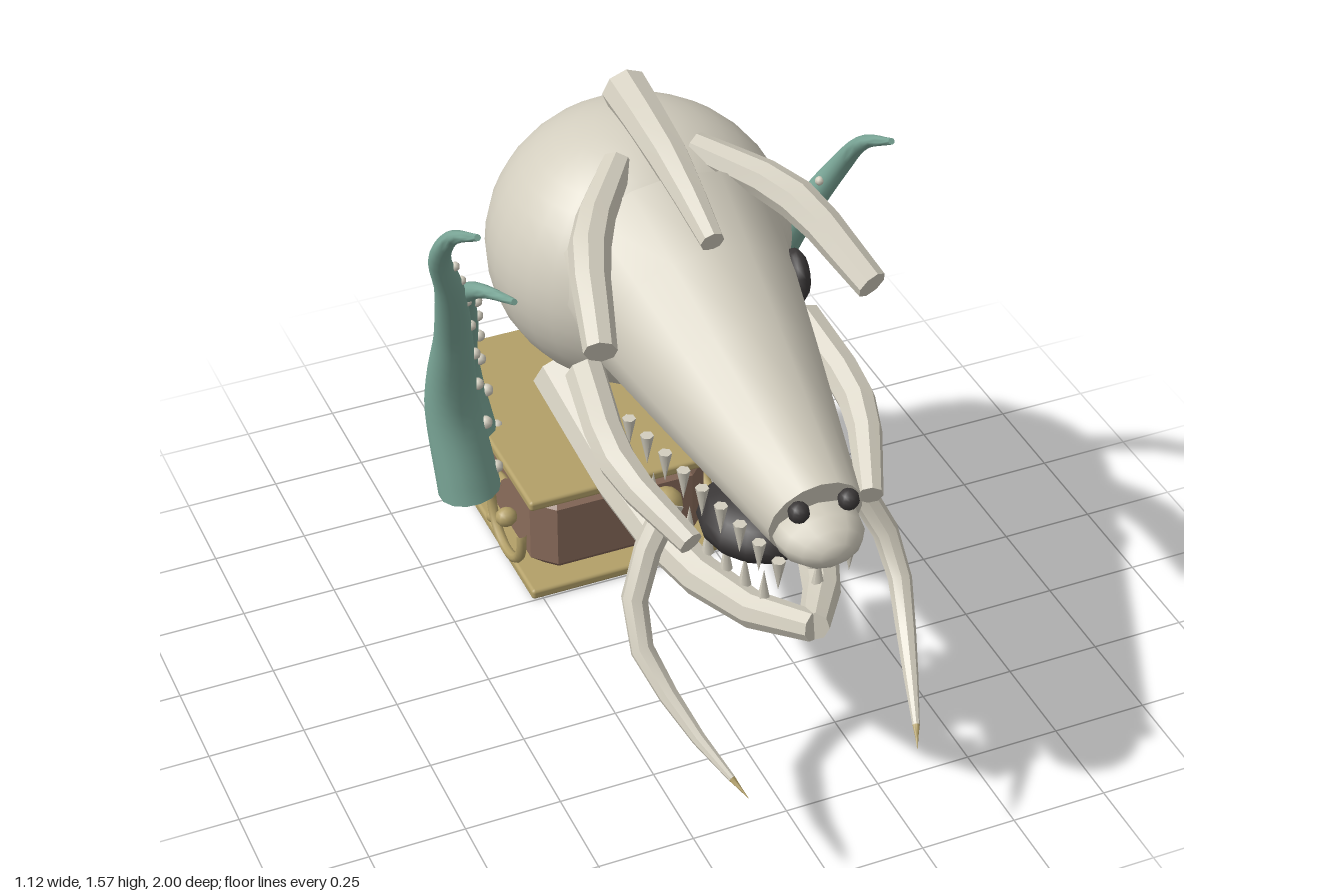
import * as THREE from 'three';
import { toCreasedNormals } from 'three/addons/utils/BufferGeometryUtils.js';
import { RoundedBoxGeometry } from 'three/addons/geometries/RoundedBoxGeometry.js';

const paint = (name, color) => {
  const m = new THREE.MeshStandardMaterial({ color });
  m.name = name;
  return m;
};

// Capped tube along points [x, y, z, radius]
function taper(points, sides, steps, crease) {
  const curve = new THREE.CatmullRomCurve3(points.map(p => new THREE.Vector3(p[0], p[1], p[2])));
  const { normals, binormals } = curve.computeFrenetFrames(steps);
  const pos = [], index = [], row = sides + 1;
  const ring = (i, capped) => {
    const u = i / steps, c = curve.getPointAt(u);
    const k = curve.getUtoTmapping(u) * (points.length - 1);
    const a = Math.min(Math.floor(k), points.length - 2);
    const r = capped ? 0 : THREE.MathUtils.lerp(points[a][3], points[a + 1][3], k - a);
    for (let j = 0; j <= sides; j++) {
      const t = j / sides * Math.PI * 2;
      const p = c.clone().addScaledVector(normals[i], r * Math.cos(t)).addScaledVector(binormals[i], r * Math.sin(t));
      pos.push(p.x, p.y, p.z);
    }
  };
  ring(0, true);
  for (let i = 0; i <= steps; i++) ring(i, false);
  ring(steps, true);
  for (let i = 0; i < steps + 2; i++) {
    for (let j = 0; j < sides; j++) {
      const a = i * row + j, b = a + row;
      index.push(a, a + 1, b, a + 1, b + 1, b);
    }
  }
  const g = new THREE.BufferGeometry();
  g.setAttribute('position', new THREE.Float32BufferAttribute(pos, 3));
  g.setIndex(index);
  return toCreasedNormals(g, crease);
}

export function createModel() {
  const root = new THREE.Group();
  const bone = paint('bone', 0xd3cebf);
  const teal = paint('teal', 0x7ba798);
  const brass = paint('brass', 0xb3a068);
  const leather = paint('leather', 0x8a6c5b);
  const dark = paint('dark', 0x3a3737);

  const add = (name, geometry, material, x = 0, y = 0, z = 0) => {
    const m = new THREE.Mesh(geometry, material);
    m.name = name;
    m.position.set(x, y, z);
    root.add(m);
    return m;
  };
  const ball = (name, mat, x, y, z, rx, ry = rx, rz = rx, w = 10, h = 8) => {
    const m = add(name, new THREE.SphereGeometry(1, w, h), mat, x, y, z);
    m.scale.set(rx, ry, rz);
    return m;
  };
  const flip = (points, s) => points.map(p => [p[0] * s, p[1], p[2], p[3]]);

  // Book-like box: chamfered body between two plates
  const w = 0.205, d = 0.3, c = 0.03;
  const outline = new THREE.Shape([
    [w, -d + c], [w, d - c], [w - c, d], [-w + c, d], [-w, d - c], [-w, -d + c], [-w + c, -d], [w - c, -d],
  ].map(p => new THREE.Vector2(p[0], p[1])));
  const body = new THREE.ExtrudeGeometry(outline, {
    depth: 0.18, bevelEnabled: true, bevelSize: 0.045, bevelThickness: 0.045, bevelSegments: 1,
  });
  body.rotateX(-Math.PI / 2);
  add('boxBody', body, leather, 0, 0.075, -0.625);
  for (const y of [0.015, 0.31]) {
    add('coverPlate', new RoundedBoxGeometry(0.56, 0.03, 0.75, 2, 0.01), brass, 0, y, -0.625);
  }

  // Skull, snout and nose
  ball('skull', bone, 0, 1.125, -0.18, 0.38, 0.355, 0.38, 32, 22);
  const snout = add('snout', taper([[0, 1.17, 0, 0.285], [0, 1.085, 0.43, 0.2], [0, 1.0, 0.86, 0.112]], 16, 4, 0.9), bone);
  snout.scale.x = 1.05;
  const nose = ball('nose', bone, 0, 0.975, 0.87, 0.108, 0.113, 0.075, 12, 8);
  nose.rotation.x = Math.PI / 2;
  nose.scale.set(0.108, 0.113, 0.075);
  ball('mouthInterior', dark, 0, 0.79, 0.56, 0.15, 0.08, 0.16, 14, 10);

  // Seam wrapping the back of the skull
  const seam = [];
  for (let i = 0; i <= 10; i++) {
    const t = i / 10, a = THREE.MathUtils.lerp(0.2, 2.4, t);
    const y = 1.16 + 0.09 * Math.sin(Math.PI * t);
    const r = 0.382 * Math.sqrt(1 - ((y - 1.125) / 0.355) ** 2);
    seam.push([r * Math.cos(a), y, -0.18 - r * Math.sin(a), 0.002 + 0.01 * Math.sin(Math.PI * t)]);
  }
  add('skullSeam', taper(seam, 6, 24, 0.8), brass);

  // Central crest
  add('crest', taper([[0, 1.51, -0.26, 0.06], [0, 1.47, 0.02, 0.05], [0, 1.39, 0.27, 0.03]], 8, 4, 0.6), bone);

  const bones = {
    browHorn: [[0.1, 1.43, -0.07, 0.04], [0.26, 1.38, 0.15, 0.052], [0.345, 1.27, 0.42, 0.04]],
    cheekHorn: [[0.285, 1.03, 0.17, 0.05], [0.31, 0.95, 0.44, 0.047], [0.23, 0.865, 0.68, 0.032]],
    tusk: [[0.21, 0.86, 0.51, 0.035], [0.3, 0.72, 0.55, 0.034], [0.342, 0.59, 0.61, 0.032],
      [0.295, 0.44, 0.79, 0.022], [0.24, 0.362, 0.95, 0.009]],
    lowerJaw: [[0.25, 0.84, -0.1, 0.07], [0.2, 0.685, 0.36, 0.06], [0.11, 0.65, 0.68, 0.048], [0, 0.685, 0.87, 0.037]],
  };
  const tentacles = [
    [[0.39, 0.3, -0.405, 0.083], [0.42, 0.58, -0.43, 0.072], [0.44, 0.84, -0.34, 0.05], [0.485, 1.08, -0.22, 0.037],
      [0.53, 1.22, -0.15, 0.028], [0.537, 1.35, -0.04, 0.019], [0.53, 1.455, 0.13, 0.008]],
    [[0.29, 0.27, -0.615, 0.063], [0.325, 0.5, -0.645, 0.06], [0.37, 0.78, -0.47, 0.043], [0.42, 1.0, -0.29, 0.028],
      [0.425, 1.1, -0.15, 0.018], [0.412, 1.185, 0.04, 0.008]],
  ];

  for (const s of [1, -1]) {
    for (const [name, points] of Object.entries(bones)) {
      add(name, taper(flip(points, s), 8, 6, 0.6), bone);
    }
    add('tuskTip', taper(flip([[0.24, 0.362, 0.95, 0.009], [0.22, 0.335, 1, 0.001]], s), 8, 2, 0.9), brass);
    ball('tuskHinge', brass, s * 0.215, 0.85, 0.5, 0.04);
    const eye = ball('eye', dark, s * 0.255, 1.175, 0.19, 0.035, 0.072, 0.065);
    eye.rotation.y = -s * 0.15;
    ball('nostril', dark, s * 0.062, 1.063, 0.9, 0.026);

    // Teeth along both jaws
    for (let i = 0; i < 9; i++) {
      const t = i / 8;
      const upper = add('upperTooth', new THREE.ConeGeometry(0.017, 0.085, 6), bone,
        s * (0.09 + 0.12 * t), 0.86 + 0.03 * t, 0.86 - 0.6 * t);
      upper.rotation.x = Math.PI;
      add('lowerTooth', new THREE.ConeGeometry(0.016, 0.09, 6), bone,
        s * (0.07 + 0.14 * t), 0.735 + 0.05 * t * t, 0.74 - 0.55 * t);
    }

    // Tentacles with suckers on the inner side
    for (const path of tentacles) {
      const points = flip(path, s);
      add('tentacle', taper(points, 14, 32, 0.9), teal);
      for (let i = 0; i < 4; i++) {
        for (const f of [0.2, 0.7]) {
          const [a, b] = [points[i], points[i + 1]];
          const [x, y, z, r] = a.map((v, k) => v + (b[k] - v) * f);
          ball('sucker', bone, x - s * r, y, z + r * 0.15, 0.018 - i * 0.002, 0.018 - i * 0.002, 0.018 - i * 0.002, 8, 6);
        }
      }
    }

    // Ring handle, boss and studs
    const ring = add('ringHandle', new THREE.TorusGeometry(0.113, 0.014, 8, 28, Math.PI * 1.55), brass, s * 0.3, 0.197, -0.38);
    ring.rotation.set(0, Math.PI / 2, 0);
    ring.geometry.rotateZ(Math.PI * 0.55);
    ring.geometry.rotateZ(Math.PI * 0.4);
    ball('handleBoss', brass, s * 0.3, 0.195, -0.38, 0.03, 0.027, 0.027);
    for (const z of [-0.5, -0.65, -0.8]) ball('stud', brass, s * 0.295, 0.11, z, 0.018);
  }
  return root;
}
